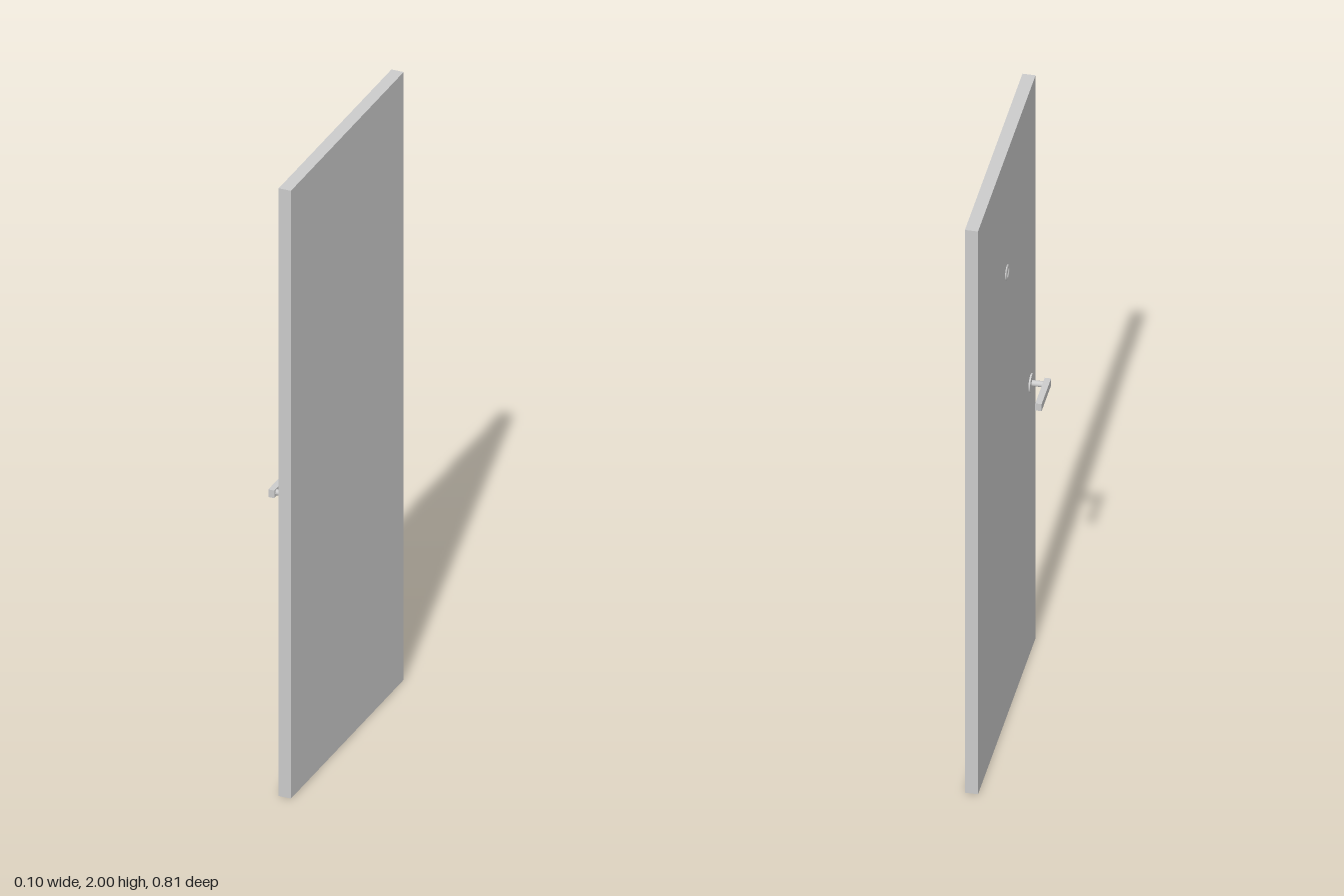
import * as THREE from 'three';

export function createModel() {
  const door = new THREE.Group();
  door.name = 'door';
  const material = new THREE.MeshStandardMaterial({ color: 0xcccccc });

  const add = (name, geometry, x, y, z, parent = door) => {
    const mesh = new THREE.Mesh(geometry, material);
    mesh.name = name;
    mesh.position.set(x, y, z);
    parent.add(mesh);
    return mesh;
  };

  // Turned part whose axis points out of the door face, toward -x.
  const turned = (profile) => new THREE.LatheGeometry(
    profile.map(([r, h]) => new THREE.Vector2(r, h)), 40).rotateZ(Math.PI / 2);

  const face = 0.009; // x of the door face that carries the fittings

  // Door slab
  add('doorPanel', new THREE.BoxGeometry(0.039, 2, 0.808), face + 0.0195, 1, 0);

  // Lever handle: round rosette, stem and flat bar
  const handle = new THREE.Group();
  handle.name = 'handle';
  handle.position.set(face, 0.957, 0.332);
  door.add(handle);
  const disc = (r, h) => new THREE.CylinderGeometry(r, r, h, 40).rotateZ(Math.PI / 2);
  add('handleRosette', disc(0.029, 0.005), -0.0025, 0, 0, handle);
  add('handleStem', disc(0.009, 0.041), -0.0205, 0, 0, handle);
  add('handleLever', new THREE.BoxGeometry(0.019, 0.025, 0.133), -0.0485, 0, -0.0505, handle);

  // Peephole: bevelled ring round a shallow lens
  add('peepholeRing', turned([
    [0.024, 0], [0.024, 0.002], [0.021, 0.004], [0.015, 0.004], [0.013, 0.001],
  ]), face, 1.578, -0.001);
  add('peepholeLens', turned([
    [0.013, 0.001], [0.009, 0.002], [0.005, 0.0025], [0, 0.0027],
  ]), face, 1.578, -0.001);

  return door;
}
